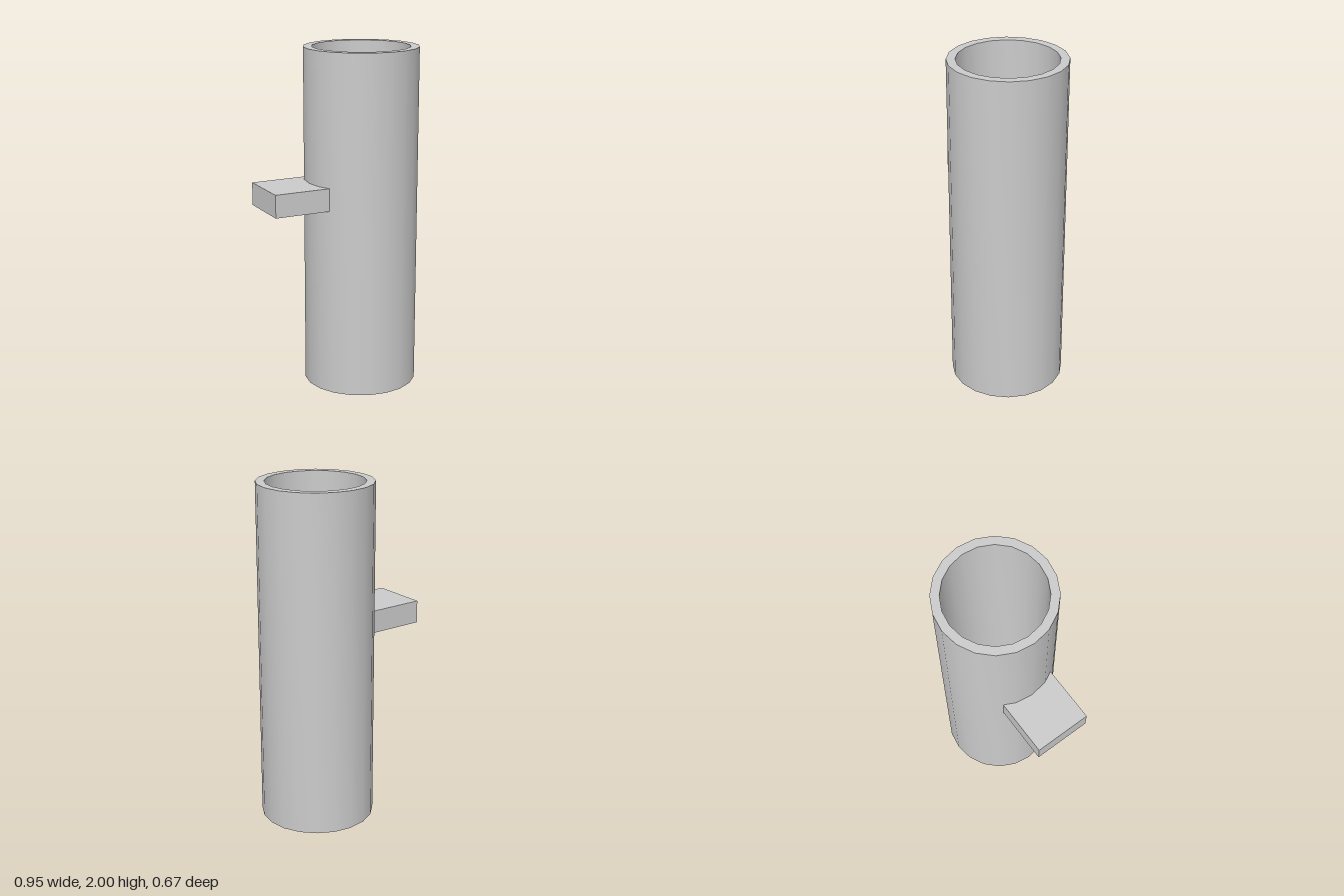
import * as THREE from 'three';
import { toCreasedNormals } from 'three/addons/utils/BufferGeometryUtils.js';

export function createModel() {
  const group = new THREE.Group();
  const material = new THREE.MeshStandardMaterial({ color: 0xcccccc });

  const height = 2, outer = 0.333, wall = 0.05, sides = 20;
  const inner = outer - wall;
  const centreX = 0.141;

  // Hollow cup with a closed floor, turned from one wall profile
  const profile = [
    [0, 0], [outer, 0], [outer, height],
    [inner, height], [inner, wall], [0, wall],
  ].map(([x, y]) => new THREE.Vector2(x, y));
  const cup = new THREE.Mesh(
    toCreasedNormals(new THREE.LatheGeometry(profile, sides), Math.PI / 6),
    material
  );
  cup.name = 'cup';
  cup.position.x = centreX;
  group.add(cup);

  // Flat block handle, its inner end set into the cup wall
  const handle = new THREE.Mesh(new THREE.BoxGeometry(0.333, 0.133, 0.333), material);
  handle.name = 'handle';
  handle.position.set(centreX - inner - 0.333 / 2, 1.167, 0);
  group.add(handle);

  return group;
}
